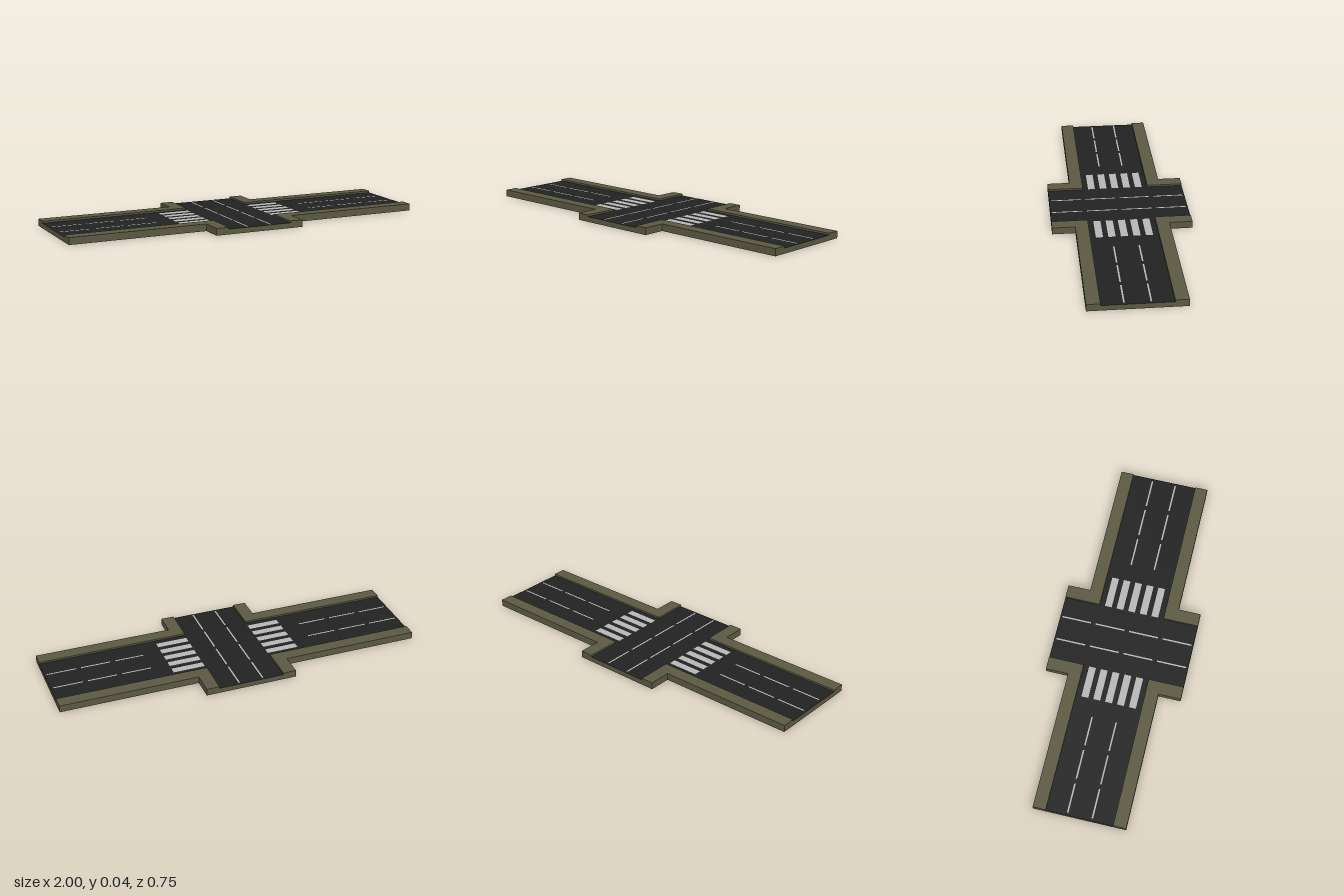
import * as THREE from 'three';

const ROAD_Y = 0.028, CURB_Y = 0.038;
const ROAD = 0.18, EDGE = 0.25, LONG = 1, SHORT = 0.373;

const mat = (color) => new THREE.MeshStandardMaterial({ color });

// Flat outline in x/z raised from y0 to y1
function slab(points, y0, y1) {
  const shape = new THREE.Shape(points.map(([x, z]) => new THREE.Vector2(x, -z)));
  const geo = new THREE.ExtrudeGeometry(shape, { depth: y1 - y0, bevelEnabled: false });
  return geo.rotateX(-Math.PI / 2).translate(0, y0, 0);
}

export function createModel() {
  const group = new THREE.Group();
  const asphalt = mat(0x222222), stone = mat(0x5c5942), paint = mat(0xb8b8b8);

  const add = (name, geo, material) => {
    const mesh = new THREE.Mesh(geo, material);
    mesh.name = name;
    group.add(mesh);
  };
  const mark = (name, x, z, w, d) => {
    const geo = new THREE.PlaneGeometry(w, d).rotateX(-Math.PI / 2);
    add(name, geo.translate(x, ROAD_Y + 0.0008, z), paint);
  };

  // Cross-shaped road bed: asphalt faces, stone-coloured rim
  const bed = [
    [LONG, EDGE], [EDGE, EDGE], [EDGE, SHORT], [-EDGE, SHORT], [-EDGE, EDGE], [-LONG, EDGE],
    [-LONG, -EDGE], [-EDGE, -EDGE], [-EDGE, -SHORT], [EDGE, -SHORT], [EDGE, -EDGE], [LONG, -EDGE],
  ];
  add('roadBed', slab(bed, 0, ROAD_Y), [asphalt, stone]);

  // L-shaped pavement at each corner
  const corner = [[ROAD, ROAD], [LONG, ROAD], [LONG, EDGE], [EDGE, EDGE], [EDGE, SHORT], [ROAD, SHORT]];
  for (const sx of [1, -1]) for (const sz of [1, -1]) {
    add('pavement', slab(corner.map(([x, z]) => [x * sx, z * sz]), ROAD_Y, CURB_Y), stone);
  }

  for (const s of [1, -1]) {
    // Zebra crossing on each side of the junction
    for (let i = -2; i <= 2; i++) mark('crossingStripe', s * 0.268, i * 0.0655, 0.174, 0.038);

    for (const lane of [-0.066, 0.066]) {
      // Dashes along the long road
      for (let i = 0; i < 3; i++) mark('longRoadDash', s * (0.534 + i * 0.186), lane, 0.16, 0.008);
      // Dashes along the short road
      for (const z of [0.094, 0.281]) mark('crossRoadDash', lane, s * z, 0.008, 0.162);
    }
  }
  return group;
}
